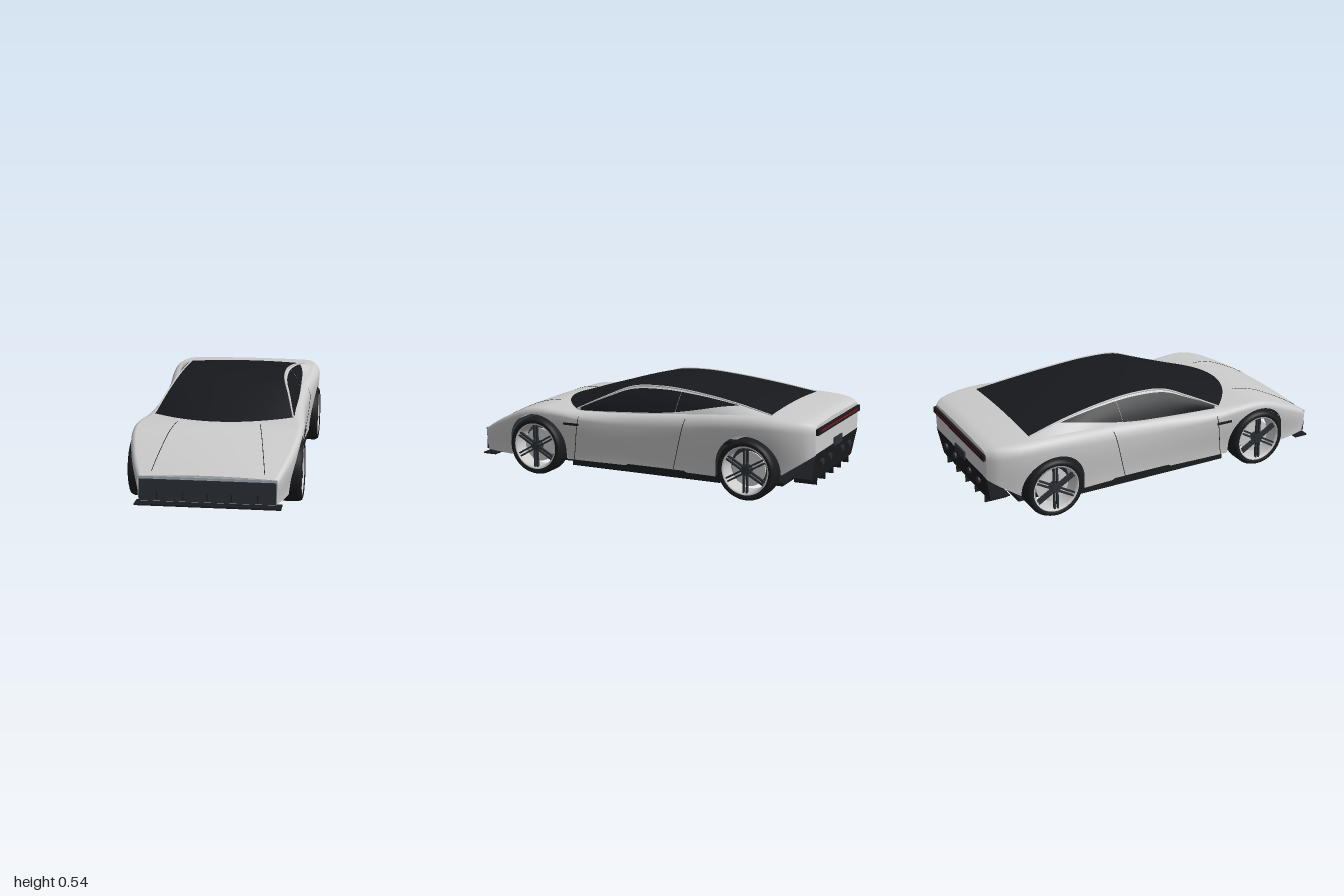
import * as THREE from 'three';

const mat = (color) => new THREE.MeshStandardMaterial({ color, side: THREE.DoubleSide });
const paint = mat(0xcccccc), glass = mat(0x17191d), black = mat(0x1b1c1f), trim = mat(0x2b3036), red = mat(0x8a1216), lamp = mat(0x9fb0b8);

const FLOOR = 0.085, ARCH = 0.18, AXLE = 0.16, WHEELS = [0.61, -0.64], TAIL = -0.985, NOSE = 0.985;

// Smooth interpolation of rows [z, a, b, ...] given in ascending z
function spline(rows) {
  const n = rows[0].length - 1;
  const it = new THREE.CubicInterpolant(rows.map((r) => r[0]), rows.flatMap((r) => r.slice(1)), n, new Array(n));
  return (z) => Array.from(it.evaluate(z));
}

// Body stations: z, half width, lower half width, waist y, shoulder y, centre y, shoulder inset
const station = spline([
  [-0.985, 0.35, 0.335, 0.365, 0.408, 0.414, 0.03],
  [-0.96, 0.378, 0.36, 0.37, 0.422, 0.428, 0.035],
  [-0.9, 0.41, 0.38, 0.376, 0.433, 0.438, 0.045],
  [-0.82, 0.432, 0.395, 0.382, 0.438, 0.446, 0.05],
  [-0.7, 0.441, 0.4, 0.385, 0.441, 0.453, 0.05],
  [-0.55, 0.435, 0.4, 0.375, 0.433, 0.441, 0.05],
  [-0.3, 0.415, 0.39, 0.345, 0.411, 0.415, 0.048],
  [0, 0.41, 0.388, 0.325, 0.386, 0.385, 0.042],
  [0.35, 0.43, 0.4, 0.33, 0.373, 0.375, 0.058],
  [0.47, 0.436, 0.4, 0.344, 0.378, 0.383, 0.045],
  [0.6, 0.438, 0.4, 0.346, 0.378, 0.386, 0.03],
  [0.7, 0.432, 0.39, 0.325, 0.356, 0.366, 0.028],
  [0.8, 0.413, 0.383, 0.28, 0.312, 0.324, 0.026],
  [0.9, 0.383, 0.363, 0.235, 0.262, 0.274, 0.024],
  [0.985, 0.348, 0.338, 0.19, 0.212, 0.222, 0.02],
]);
// Canopy edge: z, half width, height
const canopyEdge = spline([
  [-0.745, 0.35, 0.443], [-0.55, 0.32, 0.48], [-0.3, 0.296, 0.515], [-0.1, 0.289, 0.529],
  [0.08, 0.299, 0.515], [0.2, 0.328, 0.466], [0.38, 0.37, 0.38],
]);

function sideX(z, y) {
  const [w, b, s, t, , inset] = station(z);
  if (y > s) return w - inset + inset * Math.sqrt(Math.max(0, 1 - ((y - s) / (t - s)) ** 2));
  return b + (w - b) * THREE.MathUtils.smoothstep(y, FLOOR, s);
}
function deckY(z, x) {
  const [w, , , t, c, inset] = station(z);
  return t + (c - t) * (1 - (x / (w - inset)) ** 2);
}
// Lower edge of the flank, with wheel arches and the raised tail
function lowerY(z) {
  for (const c of WHEELS) if (Math.abs(z - c) <= ARCH) return AXLE + Math.sqrt(Math.max(0, ARCH ** 2 - (z - c) ** 2));
  return z < -0.8 ? 0.145 + (-0.82 - z) * 0.67 : z > 0.6 ? FLOOR : 0.1;
}
// Section point, s from -1 (right sill) over the deck to 1 (left sill)
function section(z, s) {
  const [w, , sy, t, , inset] = station(z), a = Math.abs(s), sign = Math.sign(s);
  if (a < 0.4) { const x = (w - inset) * a / 0.4; return [sign * x, deckY(z, x), z]; }
  if (a < 0.65) {
    const q = (a - 0.4) / 0.25 * Math.PI / 2;
    return [sign * (w - inset + inset * Math.sin(q)), sy + (t - sy) * Math.cos(q), z];
  }
  const y = THREE.MathUtils.lerp(sy, lowerY(z), (a - 0.65) / 0.35);
  return [sign * sideX(z, y), y, z];
}

// Surface through an (nu + 1) x (nv + 1) net of points
function grid(nu, nv, f) {
  const pos = [], idx = [];
  for (let i = 0; i <= nu; i++) for (let j = 0; j <= nv; j++) {
    pos.push(...f(i / nu, j / nv, i));
    if (i < nu && j < nv) {
      const a = i * (nv + 1) + j, b = a + nv + 1;
      idx.push(a, a + 1, b, b, a + 1, b + 1);
    }
  }
  const g = new THREE.BufferGeometry();
  g.setAttribute('position', new THREE.Float32BufferAttribute(pos, 3));
  g.setIndex(idx);
  g.computeVertexNormals();
  return g;
}

function makeWheel() {
  const wheel = new THREE.Group();
  const part = (name, g, m) => { const o = new THREE.Mesh(g, m); o.name = name; wheel.add(o); return o; };
  const lathe = (pts) => new THREE.LatheGeometry(pts.map((p) => new THREE.Vector2(...p)), 48).rotateZ(-Math.PI / 2);
  part('tyre', lathe([[0.126, -0.055], [0.14, -0.062], [0.152, -0.058], [0.16, -0.04], [0.16, 0.04], [0.152, 0.058], [0.14, 0.062], [0.126, 0.055]]), black);
  part('rim', lathe([[0.127, -0.055], [0.115, -0.04], [0.115, 0.04], [0.121, 0.056], [0.129, 0.057]]), paint);
  part('brakeDisc', new THREE.CylinderGeometry(0.092, 0.092, 0.01, 32).rotateZ(Math.PI / 2), paint);
  part('hub', new THREE.CylinderGeometry(0.024, 0.028, 0.04, 24).rotateZ(-Math.PI / 2), trim).position.x = 0.035;
  for (let i = 0; i < 6; i++) for (const side of [-1, 1]) {
    const g = new THREE.BoxGeometry(0.014, 0.104, 0.009).translate(0.045, 0.068, side * 0.009);
    part('spoke', g.rotateX(i * Math.PI / 3), trim);
  }
  return wheel;
}

export function createModel() {
  const car = new THREE.Group();
  const add = (name, g, m) => { const o = new THREE.Mesh(g, m); o.name = name; car.add(o); return o; };
  const box = (name, m, [w, h, d], [x, y, z]) => add(name, new THREE.BoxGeometry(w, h, d).translate(x, y, z), m);
  const line = (name, m, r, pts) => add(name, new THREE.TubeGeometry(
    new THREE.CatmullRomCurve3(pts.map((p) => new THREE.Vector3(...p))), 40, r, 6), m);
  const steps = (n, f) => Array.from({ length: n + 1 }, (_, i) => f(i / n));

  // Body shell, with extra stations around the wheel arches
  let zs = steps(80, (t) => TAIL + (NOSE - TAIL) * t).filter((z) => WHEELS.every((c) => Math.abs(z - c) > ARCH + 0.003));
  for (const c of WHEELS) {
    zs.push(c - ARCH - 0.001, c + ARCH + 0.001, ...steps(32, (t) => c - ARCH * 0.99999 * Math.cos(t * Math.PI)));
  }
  zs.sort((a, b) => a - b);
  add('bodyShell', grid(zs.length - 1, 80, (u, v, i) => section(zs[i], v * 2 - 1)), paint);
  for (const [name, z] of [['noseFace', NOSE], ['tailFace', TAIL]]) {
    add(name, grid(24, 2, (u, v) => { const [x, y] = section(z, u); return [x * (v * 2 - 1), y, z]; }), paint);
  }

  // One-piece windscreen, roof and rear glass
  const canopyPoint = (ze, u) => {
    const [e, y] = canopyEdge(ze), bow = 1 - u * u;
    return [u * e, y + 0.012 * bow, ze + 0.19 * bow * Math.max(0, (ze - 0.05) / 0.33)];
  };
  const edgeZ = (t) => 0.38 - 1.125 * t;
  add('canopyGlass', grid(60, 32, (u, v) => canopyPoint(edgeZ(u), v * 2 - 1)), glass);

  for (const side of [-1, 1]) {
    // Cabin side from shoulder to roof edge
    const cabin = (z, t, lift = 0) => {
      const [w, , , ty, , inset] = station(z), [e, ey] = canopyEdge(z);
      const bulge = 0.008 * Math.sin(Math.PI * t) * THREE.MathUtils.smoothstep(ey - ty, 0, 0.1) + lift;
      return [side * (THREE.MathUtils.lerp(w - inset, e, t) + bulge), THREE.MathUtils.lerp(ty, ey, t) + lift * 0.5, z];
    };
    add('cabinSide', grid(60, 8, (u, v) => cabin(edgeZ(u), v)), paint);
    add('sideWindow', grid(50, 8, (u, v) => {
      const z = 0.355 - 0.915 * u;
      const low = 0.04 + 0.84 * THREE.MathUtils.clamp((-z - 0.06) / 0.5, 0, 1) ** 2.6;
      return cabin(z, THREE.MathUtils.lerp(low, 0.9, v), 0.003);
    }), glass);
    line('roofRail', paint, 0.005, steps(30, (t) => canopyPoint(edgeZ(t), side)));

    // Panel gaps
    const flankSeam = (z0, y0, z1, y1) => line('doorSeam', black, 0.0018, steps(12, (t) => {
      const z = THREE.MathUtils.lerp(z0, z1, t), y = THREE.MathUtils.lerp(y0, y1, t);
      return [side * sideX(z, y), y, z];
    }));
    flankSeam(0.385, 0.1, 0.34, 0.35);
    flankSeam(-0.21, 0.11, -0.285, 0.39);
    line('bonnetSeam', black, 0.0018, steps(16, (t) => {
      const z = 0.57 + 0.39 * t, x = 0.215 + 0.065 * t;
      return [side * x, deckY(z, x), z];
    }));
    line('windowSeam', paint, 0.0015, steps(8, (t) => cabin(-0.21 - 0.01 * t, 0.05 + 0.85 * t, 0.002)));

    box('fenderVent', black, [0.012, 0.012, 0.09], [side * sideX(0.385, 0.305), 0.305, 0.385]);
    box('sill', black, [0.05, 0.042, 0.88], [side * 0.365, 0.087, -0.04]);

    for (const z of WHEELS) {
      const wheel = makeWheel();
      wheel.name = z > 0 ? 'frontWheel' : 'rearWheel';
      wheel.position.set(side * 0.383, AXLE, z);
      if (side < 0) wheel.rotation.y = Math.PI;
      car.add(wheel);
    }
  }

  // Underside
  box('floorPan', black, [0.62, 0.02, 1.62], [0, 0.075, 0.01]);
  box('floorSides', black, [0.73, 0.02, 0.86], [0, 0.075, -0.04]);

  // Front end
  box('grillePanel', trim, [0.68, 0.11, 0.012], [0, 0.143, 0.984]);
  box('headlampStrip', lamp, [0.69, 0.012, 0.01], [0, 0.206, 0.984]);
  box('splitter', black, [0.73, 0.007, 0.08], [0, 0.067, 0.96]);
  for (const x of [-0.25, -0.12, 0, 0.12, 0.25]) box('grilleRib', black, [0.005, 0.035, 0.008], [x, 0.115, 0.99]);

  // Rear end
  box('tailLampBar', black, [0.69, 0.032, 0.014], [0, 0.376, -0.992]);
  box('tailLamp', red, [0.6, 0.009, 0.006], [0, 0.377, -0.997]);
  box('plateHolder', trim, [0.13, 0.045, 0.012], [0, 0.268, -0.987]);
  add('rearValance', grid(1, 1, (u, v) => [(v * 2 - 1) * (0.347 - 0.02 * u), 0.262 - 0.147 * u, -0.987 + 0.026 * u]), black);
  box('diffuserPlate', black, [0.62, 0.006, 0.115], [0, 0.115, -0.903]);
  for (let i = -2; i <= 2; i++) box('diffuserFin', black, [0.006, 0.036, 0.125], [i * 0.13, 0.1, -0.905]);
  for (const x of [-0.225, -0.1, 0.1, 0.225]) {
    add('exhaust', new THREE.CylinderGeometry(0.018, 0.018, 0.02, 20).rotateX(Math.PI / 2).translate(x, 0.2, -0.978), trim);
  }
  return car;
}
